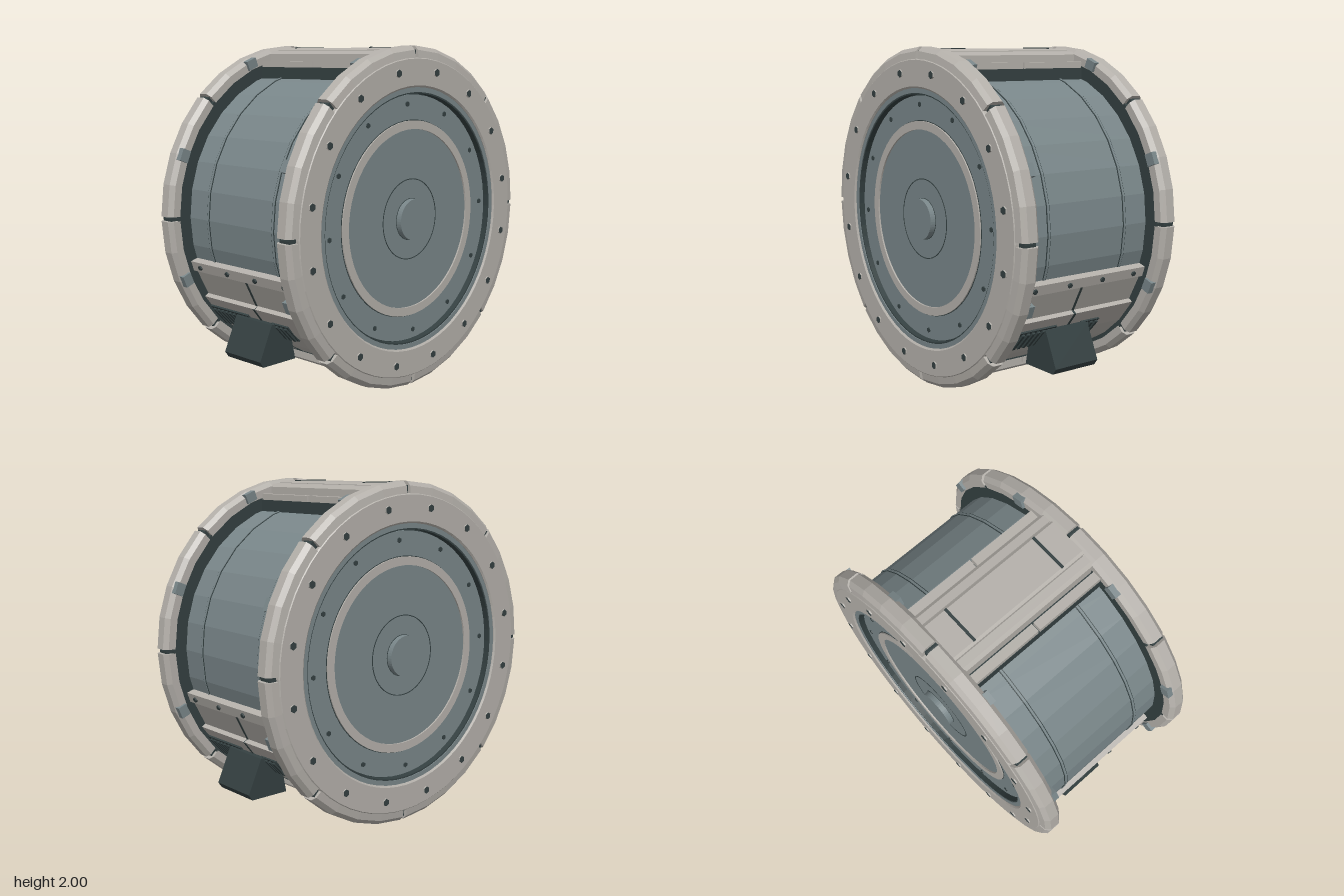
import * as THREE from 'three';
import { mergeGeometries } from 'three/addons/utils/BufferGeometryUtils.js';

const mat = (name, color) => Object.assign(new THREE.MeshStandardMaterial({ color }), { name });
const RAD = Math.PI / 180;

export function createModel() {
  const shell = mat('warm grey shell', 0xb4b0aa);
  const steel = mat('blue grey steel', 0x798689);
  const dark = mat('dark charcoal', 0x344041);

  const model = new THREE.Group();
  model.name = 'drumModule';
  const body = new THREE.Group();
  body.name = 'body';
  body.position.y = 1;
  model.add(body);

  const add = (parent, name, geometry, material) => {
    const mesh = new THREE.Mesh(geometry, material);
    mesh.name = name;
    parent.add(mesh);
    return mesh;
  };
  const group = (parent, name) => {
    const g = new THREE.Group();
    g.name = name;
    parent.add(g);
    return g;
  };
  const flat = (g) => {
    const out = g.index ? g.toNonIndexed() : g;
    out.computeVertexNormals();
    return out;
  };

  // Sweeps a counter-clockwise [radius, z] outline about the z axis; angles in degrees from the bottom.
  function sweep(outline, from = 0, to = 360, segments = 32) {
    const pts = outline.map(([r, z]) => new THREE.Vector2(r, z));
    const parts = [new THREE.LatheGeometry([...pts, pts[0].clone()], segments, from * RAD, (to - from) * RAD)];
    if (to - from < 360) {
      for (const [angle, flip] of [[from, false], [to, true]]) {
        const cap = new THREE.ShapeGeometry(new THREE.Shape(pts));
        if (flip) cap.index.array.reverse();
        parts.push(cap.rotateY(angle * RAD - Math.PI / 2));
      }
    }
    return flat(mergeGeometries(parts.map((p) => p.toNonIndexed())).rotateX(Math.PI / 2));
  }
  const rect = (r0, r1, z0, z1) => [[r0, z0], [r1, z0], [r1, z1], [r0, z1]];
  const box = (parent, name, m, x0, x1, y0, y1, z0, z1) =>
    add(parent, name, new THREE.BoxGeometry(x1 - x0, y1 - y0, z1 - z0), m)
      .position.set((x0 + x1) / 2, (y0 + y1) / 2, (z0 + z1) / 2);
  const prism = (points, z0, z1) => flat(new THREE.ExtrudeGeometry(
    new THREE.Shape(points.map(([x, y]) => new THREE.Vector2(x, y))),
    { depth: z1 - z0, bevelEnabled: false }).translate(0, 0, z0));
  const disc = (r, z0, z1, n = 64) => flat(
    new THREE.CylinderGeometry(r, r, z1 - z0, n).rotateX(Math.PI / 2).translate(0, 0, (z0 + z1) / 2));

  // Central drum with two raised bands, each edged by thin dark seams
  add(body, 'drum', disc(0.853, -0.46, 0.46, 32), steel);
  for (const z of [-0.278, 0.275]) {
    add(body, 'drumSeam', sweep(rect(0.84, 0.856, z - 0.011, z + 0.011)), dark);
    add(body, 'drumBand', sweep(rect(0.84, 0.859, z - 0.006, z + 0.006)), steel);
  }

  // Both wheel-like ends
  for (const turn of [0, Math.PI]) {
    const end = group(body, turn ? 'backEnd' : 'frontEnd');
    end.rotation.y = turn;

    add(end, 'innerFlange', sweep(rect(0.76, 0.94, 0.446, 0.48)), dark);
    add(end, 'rimCore', sweep(rect(0.9, 0.978, 0.465, 0.54)), dark);
    add(end, 'rimFace', sweep([[0.765, 0.48], [0.932, 0.48], [0.932, 0.56], [0.926, 0.566],
      [0.775, 0.566], [0.765, 0.558]], 0, 360, 64), shell);

    // Eight bevelled rim segments with a clip inside each
    for (let k = 0; k < 8; k++) {
      add(end, 'rimSegment', sweep([[0.928, 0.445], [0.975, 0.445], [1, 0.47], [1, 0.53],
        [0.975, 0.555], [0.928, 0.562]], k * 45 + 0.8, k * 45 + 44.2, 4), shell);
      const clip = group(end, 'rimClip');
      clip.rotation.z = (k * 45 + 22.5) * RAD;
      box(clip, 'clipBlock', steel, 0.935, 0.992, -0.036, 0.036, 0.428, 0.465);
    }

    // Rim bolts on low bosses
    for (let k = 0; k < 16; k++) {
      const a = (11.25 + 22.5 * k) * RAD;
      const bolt = group(end, 'rimBolt');
      bolt.position.set(0.86 * Math.cos(a), 0.86 * Math.sin(a), 0);
      add(bolt, 'boltBoss', disc(0.023, 0.55, 0.574, 6), shell);
      add(bolt, 'boltHead', disc(0.022, 0.56, 0.576, 6), dark);
    }

    // Recessed end plate, from the collar to the hub
    add(end, 'collar', sweep([[0.737, 0.48], [0.768, 0.48], [0.768, 0.555], [0.737, 0.555]], 0, 360, 64), steel);
    add(end, 'collarLining', sweep(rect(0.729, 0.738, 0.48, 0.55), 0, 360, 64), dark);
    add(end, 'grooveFloor', disc(0.735, 0.46, 0.5), dark);
    add(end, 'endPlate', disc(0.722, 0.46, 0.52), steel);
    add(end, 'trimRing', sweep(rect(0.525, 0.575, 0.5, 0.53), 0, 360, 64), shell);
    add(end, 'trimShadowGap', sweep(rect(0.574, 0.579, 0.5, 0.522), 0, 360, 64), dark);
    add(end, 'faceSeam', sweep(rect(0.233, 0.238, 0.5, 0.522), 0, 360, 64), dark);
    add(end, 'hubSeam', sweep(rect(0.119, 0.123, 0.5, 0.522), 0, 360, 48), dark);
    add(end, 'hub', disc(0.12, 0.5, 0.555, 48), steel);
    for (let k = 0; k < 12; k++) {
      const a = (3 + 30 * k) * RAD;
      add(end, 'plateBolt', disc(0.015, 0.505, 0.526, 6), dark)
        .position.set(0.67 * Math.cos(a), 0.67 * Math.sin(a), 0);
    }
  }

  // Bridges joining the ends along the top and bottom
  for (const turn of [0, Math.PI]) {
    const bridge = group(body, turn ? 'bottomBridge' : 'topBridge');
    bridge.rotation.z = turn;
    box(bridge, 'bridgeBase', dark, -0.278, 0.278, 0.75, 0.872, -0.45, 0.45);
    box(bridge, 'bridgeCore', dark, -0.19, 0.19, 0.86, 0.945, -0.45, 0.45);
    add(bridge, 'bridgePlate', prism([[-0.13, 0.9], [0.13, 0.9], [0.13, 0.975], [0.115, 0.987],
      [-0.115, 0.987], [-0.13, 0.975]], -0.455, 0.455), shell);
    for (const z of [-0.31, 0.31]) {
      box(bridge, 'bridgeSlot', dark, -0.118, 0.118, 0.982, 0.992, z - 0.008, z + 0.008);
    }
    for (const s of [0, Math.PI]) {
      const flank = group(bridge, 'bridgeFlank');
      flank.rotation.y = s;
      add(flank, 'bridgeBeam', prism([[0.136, 0.87], [0.205, 0.87], [0.205, 0.95], [0.185, 0.968],
        [0.136, 0.972]], -0.452, 0.452), shell);
      for (const z of [-0.225, 0.225]) {
        box(flank, 'bridgeRail', shell, 0.222, 0.276, 0.86, 0.908, z - 0.219, z + 0.219);
      }
    }
  }

  // Lower side assemblies, one per side
  for (const turn of [0, Math.PI]) {
    const side = group(body, turn ? 'rightSide' : 'leftSide');
    side.rotation.y = turn;
    const panel = (name, r, a, b, n, m = shell, z = 0.445) =>
      add(side, name, sweep(rect(0.83, r, -z, z), a, b, n), m);
    panel('lowerPanel', 0.905, 14, 57, 4);
    panel('upperPanel', 0.876, 57, 68.5, 1);
    panel('panelGap', 0.872, 68.5, 69, 1, dark);
    panel('boltStrip', 0.897, 69, 73, 1);
    panel('lowerPanelSeam', 0.908, 14, 57, 4, dark, 0.008);
    panel('upperPanelSeam', 0.879, 57, 68.5, 1, dark, 0.008);

    for (const z of [-0.36, -0.12, 0.12, 0.365]) {
      const bolt = add(side, 'stripBolt', flat(new THREE.CylinderGeometry(0.015, 0.015, 0.02, 6)), dark);
      bolt.rotation.z = -109 * RAD;
      bolt.position.set(0.897 * Math.cos(19 * RAD), -0.897 * Math.sin(19 * RAD), z);
    }

    // Ribbed vents
    const vents = group(side, 'vents');
    vents.rotation.z = -43 * RAD;
    for (const [z0, z1, h] of [[0.1, 0.44, 0.083], [-0.23, -0.09, 0.068]]) {
      box(vents, 'ventBase', dark, 0.85, 0.908, -h, h, z0, z1);
      for (let z = z0 + 0.012; z < z1 - 0.02; z += 0.036) {
        box(vents, 'ventRib', dark, 0.88, 0.92, -h * 0.85, h * 0.85, z, z + 0.018);
      }
    }

    // Wedge-shaped foot
    add(side, 'foot', prism([[0.55, -0.805], [0.795, -0.805], [0.82, -0.77], [0.73, -0.57], [0.6, -0.57]],
      -0.12, 0.19), dark);
  }

  return model;
}
